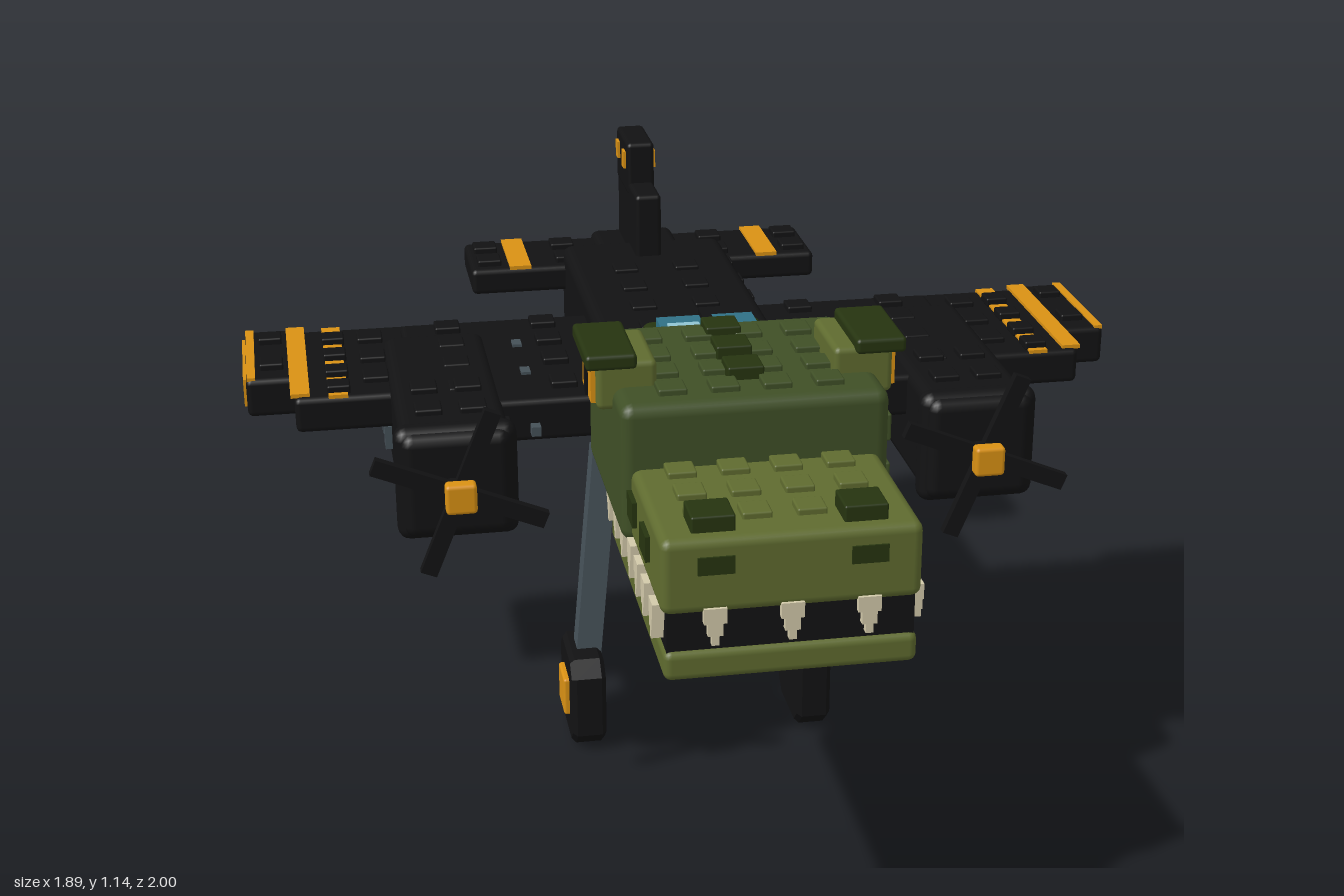
import * as THREE from 'three';
import { RoundedBoxGeometry } from 'three/addons/geometries/RoundedBoxGeometry.js';

const mat = (name, color) => {
  const m = new THREE.MeshStandardMaterial({ color });
  m.name = name;
  return m;
};

export function createModel() {
  const black = mat('black', 0x121213), skull = mat('moss green', 0x3f4f26), olive = mat('olive', 0x5f6b2f);
  const dark = mat('dark green', 0x263410), amber = mat('amber', 0xd99114), grey = mat('steel grey', 0x455057);
  const glass = mat('glass', 0x2f7085), shine = mat('pale glass', 0x90c4d2), ivory = mat('ivory', 0xd2c9aa);

  const model = new THREE.Group();
  const group = (name, parent = model) => {
    const g = new THREE.Group();
    g.name = name;
    parent.add(g);
    return g;
  };
  const add = (parent, name, geo, material) => {
    const m = new THREE.Mesh(geo, material);
    m.name = name;
    parent.add(m);
    return m;
  };
  // Box from min/max extents; r > 0 softens the edges
  const box = (parent, name, material, [x0, x1], [y0, y1], [z0, z1], r = 0) => {
    const s = [Math.abs(x1 - x0), y1 - y0, z1 - z0];
    const geo = r ? new RoundedBoxGeometry(...s, 2, r) : new THREE.BoxGeometry(...s);
    const m = add(parent, name, geo, material);
    m.position.set((x0 + x1) / 2, (y0 + y1) / 2, (z0 + z1) / 2);
    return m;
  };
  // Mirrored x range
  const mx = (s, a, b) => (s > 0 ? [a, b] : [-b, -a]);
  // Raised square studs on a top face
  const topStuds = (parent, material, y, xs, zs, size = 0.055, h = 0.014) => {
    for (const x of xs) for (const z of zs)
      box(parent, 'topStud', material, [x - size / 2, x + size / 2], [y - 0.005, y + h], [z - size / 2, z + size / 2], 0.004);
  };
  // Raised square studs on a +x face
  const sideStuds = (parent, material, x, ys, zs, size = 0.055) => {
    for (const y of ys) for (const z of zs)
      box(parent, 'sideStud', material, [x - 0.005, x + 0.012], [y - size / 2, y + size / 2], [z - size / 2, z + size / 2], 0.004);
  };
  const strut = (parent, name, a, b, w) => {
    const p = new THREE.Vector3(...a), q = new THREE.Vector3(...b);
    const m = add(parent, name, new THREE.BoxGeometry(w, p.distanceTo(q), w), grey);
    m.position.copy(p).add(q).multiplyScalar(0.5);
    m.quaternion.setFromUnitVectors(new THREE.Vector3(0, 1, 0), p.sub(q).normalize());
  };
  // Square wheel with clipped corners, axle along x
  const wheel = (parent, x, y, z, half, width) => {
    const c = half * 0.68, s = new THREE.Shape();
    [[c, half], [-c, half], [-half, c], [-half, -c], [-c, -half], [c, -half], [half, -c], [half, c]]
      .forEach(([u, v], i) => (i ? s.lineTo(u, v) : s.moveTo(u, v)));
    const geo = new THREE.ExtrudeGeometry(s, { depth: width - 0.02, bevelThickness: 0.01, bevelSize: 0.01, bevelOffset: -0.01, bevelSegments: 1 });
    geo.translate(0, 0, 0.01 - width / 2).rotateY(Math.PI / 2);
    add(parent, 'wheel', geo, black).position.set(x, y, z);
  };

  // Fuselage
  const body = group('fuselage');
  box(body, 'hull', black, [-0.19, 0.19], [0.62, 0.905], [-0.72, 0.35], 0.025);
  box(body, 'belly', black, [-0.17, 0.17], [0.58, 0.7], [-0.71, 0.3], 0.025);
  box(body, 'tailCone', black, [-0.1, 0.1], [0.69, 0.885], [-0.885, -0.6], 0.02);
  box(body, 'tailStub', dark, [-0.055, 0.055], [0.745, 0.83], [-1, -0.87], 0.01);
  topStuds(body, black, 0.9, [-0.07, 0.07], [-0.5, -0.37, -0.24, -0.11, 0.02]);
  sideStuds(body, black, 0.19, [0.68], [-0.62, -0.49, -0.36, -0.23, -0.1, 0.03, 0.16]);
  sideStuds(body, black, 0.19, [0.85], [-0.62, -0.49, -0.37]);

  // Tail surfaces
  const tail = group('tail');
  box(tail, 'tailplane', black, [-0.41, 0.41], [0.81, 0.87], [-0.87, -0.655], 0.012);
  box(tail, 'finBase', black, [-0.03, 0.03], [0.86, 1.05], [-0.87, -0.59], 0.01);
  box(tail, 'finTop', black, [-0.032, 0.032], [1.02, 1.145], [-0.87, -0.7], 0.01);
  for (const s of [-1, 1]) {
    box(tail, 'tailStripe', amber, mx(s, 0.27, 0.32), [0.867, 0.876], [-0.868, -0.657]);
    topStuds(tail, black, 0.87, [s * 0.18, s * 0.365], [-0.81, -0.71]);
    for (const z of [-0.74, -0.83])
      box(tail, 'finPatch', amber, mx(s, 0.03, 0.038), [1.08, 1.12], [z - 0.016, z + 0.016]);
  }

  // Wings with engines
  for (const s of [-1, 1]) {
    const wing = group(s > 0 ? 'leftWing' : 'rightWing');
    box(wing, 'innerWing', black, mx(s, 0.15, 0.6), [0.77, 0.86], [-0.34, 0.165], 0.012);
    box(wing, 'outerWing', black, mx(s, 0.58, 0.842), [0.77, 0.845], [-0.38, 0.04], 0.012);
    box(wing, 'wingTip', black, mx(s, 0.82, 0.94), [0.765, 0.848], [-0.39, -0.08], 0.012);
    box(wing, 'outerStripe', amber, mx(s, 0.81, 0.85), [0.843, 0.852], [-0.388, 0.025]);
    box(wing, 'innerStripe', amber, mx(s, 0.732, 0.772), [0.842, 0.85], [-0.378, 0.038]);
    box(wing, 'tipTopEdge', amber, mx(s, 0.92, 0.938), [0.844, 0.852], [-0.385, -0.085]);
    box(wing, 'tipSidePlate', amber, mx(s, 0.938, 0.946), [0.78, 0.84], [-0.36, -0.11]);
    topStuds(wing, black, 0.85, [s * 0.75], [-0.29, -0.19, -0.09, 0], 0.048);
    topStuds(wing, black, 0.843, [s * 0.67], [-0.3, -0.18, -0.06]);
    topStuds(wing, black, 0.848, [s * 0.885], [-0.32, -0.16], 0.05);
    topStuds(wing, black, 0.86, [s * 0.29, s * 0.5], [-0.29, -0.18, -0.06, 0.08]);
    box(wing, 'gunBarrel', grey, mx(s, 0.35, 0.37), [0.79, 0.81], [0.1, 0.19]);
    for (const z of [-0.17, 0])
      box(wing, 'vent', grey, mx(s, 0.35, 0.37), [0.855, 0.866], [z - 0.017, z + 0.017]);

    const engine = group('engine', wing);
    const cx = s * 0.535;
    box(engine, 'nacelle', black, [cx - 0.11, cx + 0.11], [0.65, 0.87], [-0.25, 0.35], 0.025);
    box(engine, 'cowl', black, [cx - 0.122, cx + 0.122], [0.64, 0.878], [0.275, 0.335], 0.025);
    topStuds(engine, black, 0.868, [cx - 0.045, cx + 0.045], [0.09, 0.21]);
    sideStuds(engine, black, cx + 0.11, [0.71, 0.81], [0.08, 0.21]);
    for (const z of [-0.01, -0.1])
      box(engine, 'exhaust', grey, mx(s, 0.64, 0.66), [0.71, 0.76], [z - 0.02, z + 0.02]);
    // Four-bladed propeller
    const prop = group('propeller', engine);
    prop.position.set(cx, 0.76, 0.38);
    prop.rotation.z = -0.39;
    box(prop, 'blades', black, [-0.182, 0.182], [-0.017, 0.017], [-0.01, 0.01]);
    box(prop, 'blades', black, [-0.017, 0.017], [-0.182, 0.182], [-0.01, 0.01]);
    box(engine, 'propShaft', black, [cx - 0.02, cx + 0.02], [0.74, 0.78], [0.34, 0.39]);
    box(engine, 'propHub', amber, [cx - 0.031, cx + 0.031], [0.729, 0.791], [0.385, 0.42], 0.008);

    // Main landing gear
    const gear = group(s > 0 ? 'leftGear' : 'rightGear');
    strut(gear, 'gearStrut', [s * 0.19, 0.66, -0.045], [s * 0.25, 0.12, 0.015], 0.055);
    wheel(gear, s * 0.252, 0.11, 0.013, 0.103, 0.075);
    box(gear, 'wheelHub', amber, mx(s, 0.28, 0.302), [0.065, 0.153], [-0.03, 0.06], 0.006);
  }
  const tailGear = group('tailGear');
  strut(tailGear, 'tailStrut', [0, 0.64, -0.635], [0, 0.1, -0.664], 0.035);
  wheel(tailGear, 0, 0.078, -0.664, 0.078, 0.06);

  // Reptile head
  const head = group('head');
  box(head, 'skull', skull, [-0.256, 0.256], [0.755, 1.03], [0.22, 0.665], 0.025);
  box(head, 'snout', olive, [-0.237, 0.237], [0.76, 0.905], [0.62, 0.99], 0.018);
  box(head, 'mouth', black, [-0.226, 0.226], [0.66, 0.78], [0.34, 0.98]);
  box(head, 'lowerJaw', olive, [-0.232, 0.232], [0.63, 0.688], [0.35, 0.99], 0.015);
  topStuds(head, skull, 1.028, [-0.15, -0.05, 0.05, 0.15], [0.31, 0.41, 0.5, 0.59]);
  topStuds(head, olive, 0.903, [-0.15, -0.05, 0.05, 0.15], [0.69, 0.79, 0.89]);
  topStuds(head, dark, 1.03, [0], [0.3, 0.41, 0.525], 0.07, 0.025);
  topStuds(head, dark, 0.905, [-0.138, 0.138], [0.92], 0.08, 0.03);
  sideStuds(head, skull, 0.256, [0.84, 0.94], [0.3, 0.4, 0.49, 0.6]);

  for (const s of [-1, 1]) {
    box(head, 'nostril', dark, mx(s, 0.105, 0.172), [0.838, 0.872], [0.985, 0.994]);
    for (const z of [0.69, 0.84])
      box(head, 'cheekScale', dark, mx(s, 0.23, 0.246), [0.815, 0.865], [z - 0.035, z + 0.035]);
    // Eyes
    const eye = group(s > 0 ? 'leftEye' : 'rightEye', head);
    box(eye, 'eyeSocket', olive, mx(s, 0.17, 0.285), [0.985, 1.08], [0.375, 0.56], 0.012);
    box(eye, 'iris', amber, mx(s, 0.27, 0.294), [0.995, 1.065], [0.425, 0.54]);
    box(eye, 'pupil', black, mx(s, 0.29, 0.299), [0.997, 1.063], [0.48, 0.502]);
    box(eye, 'brow', dark, mx(s, 0.21, 0.307), [1.07, 1.1], [0.38, 0.575], 0.008);
  }

  // Stepped teeth along the front and both sides
  const tooth = (x, z, alongX) => {
    for (const [w, y0, y1] of [[0.021, 0.742, 0.772], [0.014, 0.718, 0.745], [0.007, 0.7, 0.72]]) {
      const dx = alongX ? w : 0.011, dz = alongX ? 0.011 : w;
      box(head, 'tooth', ivory, [x - dx, x + dx], [y0, y1], [z - dz, z + dz]);
    }
  };
  for (const x of [-0.14, 0, 0.14]) tooth(x, 0.984, true);
  for (const s of [-1, 1])
    for (const z of [0.94, 0.85, 0.77, 0.69, 0.595, 0.51, 0.425]) tooth(s * 0.237, z, false);

  // Cockpit
  const cockpit = group('cockpit');
  box(cockpit, 'cockpitBase', dark, [-0.125, 0.125], [0.86, 0.985], [0.07, 0.25], 0.02);
  box(cockpit, 'canopy', glass, [-0.1, 0.1], [0.96, 1.005], [0.115, 0.235]);
  box(cockpit, 'canopyShine', shine, [-0.085, -0.02], [1, 1.009], [0.165, 0.23]);
  box(cockpit, 'canopyFrame', black, [-0.01, 0.01], [0.97, 1.016], [0.105, 0.25]);
  return model;
}
